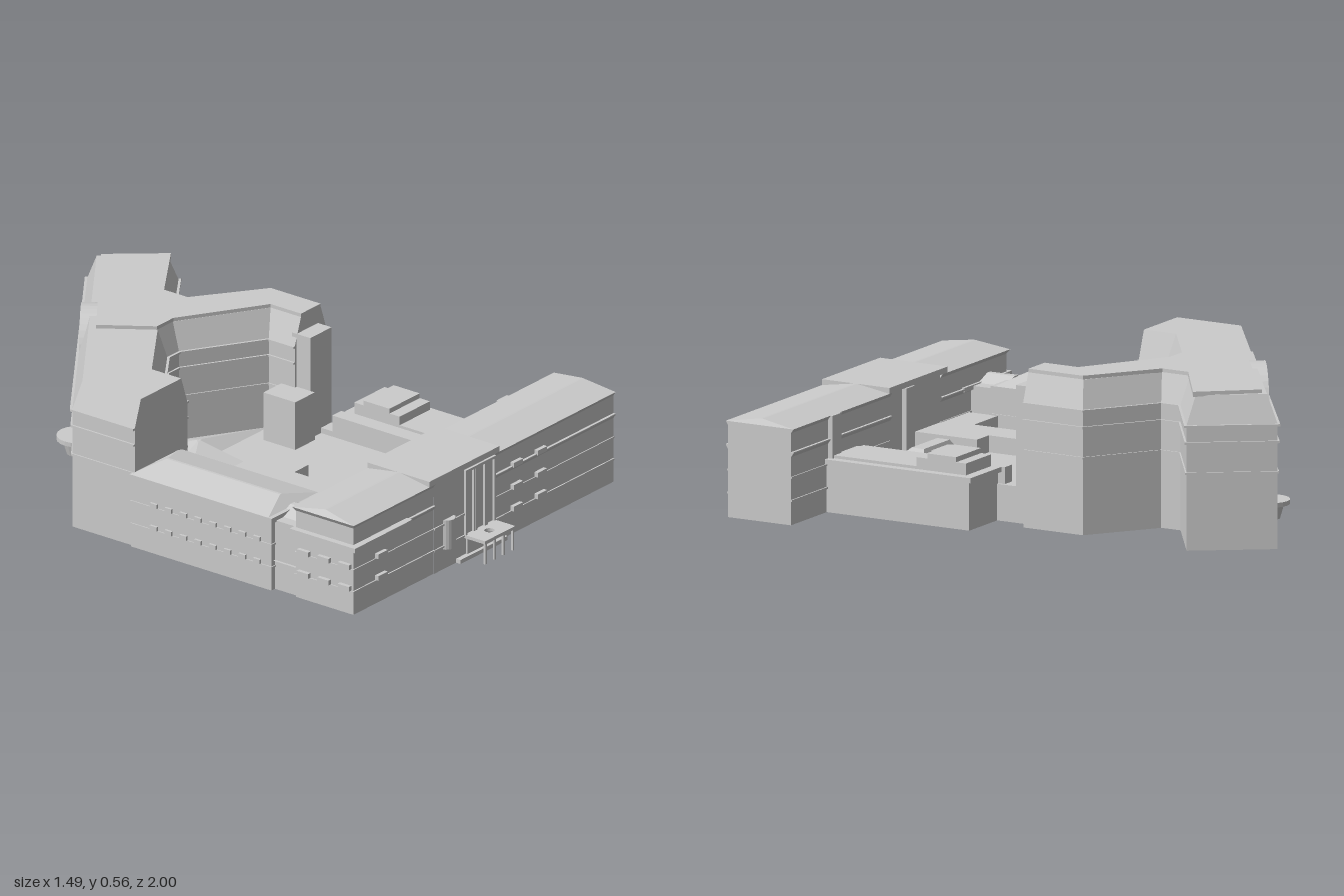
import * as THREE from 'three';

const material = new THREE.MeshStandardMaterial({ color: 0xcccccc, flatShading: true, side: THREE.DoubleSide });
const FLOOR = 0.11; // courtyard level
const ALL = Infinity;

export function createModel() {
  const model = new THREE.Group();

  const add = (name, geometry, x = 0, y = 0, z = 0) => {
    const mesh = new THREE.Mesh(geometry, material);
    mesh.name = name;
    mesh.position.set(x, y, z);
    model.add(mesh);
    return mesh;
  };
  const box = (name, x0, x1, y0, y1, z0, z1) =>
    add(name, new THREE.BoxGeometry(x1 - x0, y1 - y0, z1 - z0), (x0 + x1) / 2, (y0 + y1) / 2, (z0 + z1) / 2);

  // Outline of a rectangle, clockwise from above: edges are north, east, south, west
  const rect = (x0, x1, z0, z1) => [[x0, z0], [x1, z0], [x1, z1], [x0, z1]];

  // Moves each edge of an outline inwards by d, except the flush edges
  const inset = (poly, d, flush) => {
    const n = poly.length;
    const lines = poly.map((p, i) => {
      const q = poly[(i + 1) % n];
      const len = Math.hypot(q[0] - p[0], q[1] - p[1]);
      const nx = -(q[1] - p[1]) / len, nz = (q[0] - p[0]) / len;
      return [nx, nz, nx * p[0] + nz * p[1] + (flush.includes(i) ? 0 : d)];
    });
    return lines.map((b, i) => {
      const a = lines[(i + n - 1) % n];
      const det = a[0] * b[1] - a[1] * b[0];
      return [(a[2] * b[1] - a[1] * b[2]) / det, (a[0] * b[2] - a[2] * b[0]) / det];
    });
  };

  // Skin over stacked outlines [y, outline], capped on top; open[i] leaves edge i without wall up to that height
  const skin = (name, rings, open = {}) => {
    const pos = [];
    const put = (y, p) => pos.push(p[0], y, p[1]);
    for (let k = 0; k + 1 < rings.length; k++) {
      const [y0, a] = rings[k], [y1, b] = rings[k + 1];
      a.forEach((p, i) => {
        if (y1 <= (open[i] ?? -1)) return;
        const j = (i + 1) % a.length;
        put(y0, p); put(y1, b[i]); put(y1, b[j]);
        put(y0, p); put(y1, b[j]); put(y0, a[j]);
      });
    }
    const [top, cap] = rings[rings.length - 1];
    const pts = cap.map(p => new THREE.Vector2(p[0], p[1]));
    for (const [i, j, k] of THREE.ShapeUtils.triangulateShape(pts, [])) {
      const turn = (cap[j][0] - cap[i][0]) * (cap[k][1] - cap[i][1]) - (cap[j][1] - cap[i][1]) * (cap[k][0] - cap[i][0]);
      for (const v of turn > 0 ? [i, k, j] : [i, j, k]) put(top, cap[v]);
    }
    const g = new THREE.BufferGeometry();
    g.setAttribute('position', new THREE.Float32BufferAttribute(pos, 3));
    g.computeVertexNormals();
    return add(name, g);
  };
  const walls = (name, poly, levels, flush = [], open = {}) =>
    skin(name, levels.map(([y, d]) => [y, d ? inset(poly, d, flush) : poly]), open);
  const band = (y0, y1, out) => [[y0, 0], [y0, -out], [y1, -out], [y1, 0]];

  // Rear tower: forked plan with string courses and mansard roof
  const plan = [[-0.72, -0.335], [0.203, -0.993], [0.387, -0.735], [0.12, -0.552], [0.12, -0.474], [0.36, -0.3], [0.36, -0.06],
    [0.18, -0.06], [0.18, -0.175], [-0.1, -0.352], [-0.165, -0.352], [-0.425, -0.172], [-0.425, -0.06], [-0.72, -0.06]];
  const ends = [6, 12];
  walls('rearTower', plan, [[0, 0], ...band(0.27, 0.278, 0.005), ...band(0.378, 0.386, 0.007),
    ...band(0.438, 0.446, 0.009), [0.545, 0.034]], ends);
  skin('raisedRoof', [0.54, 0.558].map(y => [y, [[-0.3, -0.56], [0.193, -0.925], [0.348, -0.738], [0.085, -0.562],
    [0.085, -0.458], [0.325, -0.28], [0.325, -0.06], [0.215, -0.06], [0.215, -0.195], [-0.088, -0.386], [-0.18, -0.386]]]));
  box('stairTower', 0.19, 0.31, 0, 0.49, -0.08, 0);
  box('stairAnnex', 0.08, 0.19, 0, 0.29, -0.12, 0.02);
  box('stairPorch', 0.25, 0.31, 0, 0.13, -0.02, 0.08);

  // Arched dormer and round porch on the slanted rear wall
  const rear = new THREE.Group();
  rear.name = 'rearEntrance';
  rear.position.set(-0.2, 0, -0.706);
  rear.rotation.y = Math.PI + Math.atan2(0.658, 0.923);
  const rearPart = (name, geometry, y, z) => rear.add(add(name, geometry, 0, y, z));
  const arch = r => new THREE.Shape().absellipse(0, 0, r, r, 0, Math.PI, false);
  rearPart('archDormer', new THREE.ExtrudeGeometry(arch(0.145), { depth: 0.09, bevelEnabled: false, curveSegments: 10 }), 0.4, -0.097);
  const rim = arch(0.157);
  rim.holes.push(arch(0.14));
  rearPart('archRim', new THREE.ExtrudeGeometry(rim, { depth: 0.09, bevelEnabled: false, curveSegments: 10 }), 0.4, -0.09);
  rearPart('porchRoof', new THREE.CylinderGeometry(0.075, 0.075, 0.016, 20), 0.06, 0.01);
  rearPart('porchBody', new THREE.CylinderGeometry(0.055, 0.04, 0.052, 14), 0.026, 0.01);
  model.add(rear);

  // Front block: banded wings with low gables on either side of a plain, flat-topped centre
  const courses = [[0, 0], ...band(0.083, 0.09, 0.005), [FLOOR, 0], ...band(0.166, 0.172, 0.004),
    [0.242, 0], [0.256, -0.01], [0.26, -0.01], [0.26, 0], [0.327, 0], [0.342, -0.01]];
  const wing = (name, x0, x1, flush, open) => walls(name, rect(x0, x1, 0.65, 0.903), courses, flush, open);
  wing('westFrontWing', -0.72, -0.27, [1], { 0: FLOOR, 1: ALL });
  wing('eastFrontWing', 0.07, 0.295, [1, 3], { 0: FLOOR, 1: ALL, 3: ALL });
  wing('eastFrontEnd', 0.295, 0.743, [1, 3], { 3: ALL });
  walls('frontCentre', rect(-0.27, 0.07, 0.65, 0.905), [[0, 0], [FLOOR, 0], [0.342, 0]], [], { 0: FLOOR, 1: ALL, 3: ALL });
  box('centreRoof', -0.305, 0.09, 0.342, 0.363, 0.64, 0.913);
  for (const [x0, x1, r0, r1] of [[-0.73, -0.305, -0.715, -0.305], [0.09, 0.743, 0.09, 0.73]])
    skin('gableRoof', [[0.342, rect(x0, x1, 0.64, 0.913)], [0.363, rect(r0, r1, 0.772, 0.78)]]);
  for (const y of [0.083, 0.166]) box('centreCourse', -0.27, -0.1, y, y + 0.007, 0.904, 0.91);
  box('cornerLedge', -0.743, -0.42, 0.248, 0.264, 0.64, 0.928);

  // Window boxes on the front and the west end
  for (const y of [0.09, 0.172, 0.256]) {
    for (const x of [0.19, 0.325]) box('windowBox', x - 0.026, x + 0.026, y, y + 0.018, 0.902, 0.918);
    if (y < 0.2) {
      box('windowBox', -0.597, -0.545, y, y + 0.018, 0.902, 0.918);
      for (const z of [0.69, 0.78, 0.87]) box('endWindowBox', -0.735, -0.719, y, y + 0.018, z - 0.025, z + 0.025);
    }
  }
  for (const x of [-0.04, 0.46]) box('rearPier', x - 0.03, x + 0.03, FLOOR, 0.342, 0.632, 0.65);
  add('roundBay', new THREE.CylinderGeometry(0.033, 0.033, 0.11, 10, 1, false, -Math.PI / 2, Math.PI), -0.187, 0.13, 0.895);

  // Tall entrance glazing with fins
  box('entranceFrame', -0.1, 0.07, 0.325, 0.335, 0.904, 0.914);
  for (const x of [-0.095, -0.05, -0.04, 0.01, 0.02, 0.065]) box('entranceFin', x - 0.004, x + 0.004, 0.085, 0.33, 0.904, 0.914);

  // Entrance canopy with a round opening, posts and steps
  const slab = new THREE.Shape([[-0.1, -0.998], [0.07, -0.998], [0.07, -0.9], [-0.1, -0.9]].map(p => new THREE.Vector2(...p)));
  slab.holes.push(new THREE.Path().absarc(-0.015, -0.95, 0.018, 0, Math.PI * 2, true));
  const canopy = new THREE.ExtrudeGeometry(slab, { depth: 0.012, bevelEnabled: false });
  add('canopy', canopy.rotateX(-Math.PI / 2), 0, 0.078, 0);
  for (const x of [-0.092, -0.04, 0.01, 0.062]) box('canopyPost', x - 0.004, x + 0.004, 0, 0.08, 0.988, 0.996);
  box('entranceStep', -0.145, 0.12, 0, 0.015, 0.904, 0.925);
  box('doorway', -0.09, 0.06, 0, 0.075, 0.904, 0.912);

  // West wing with hipped roof, and the link to the front block
  walls('westWing', rect(-0.73, -0.46, -0.07, 0.55), [[0, 0], ...band(0.085, 0.091, 0.004), [FLOOR, 0],
    ...band(0.17, 0.176, 0.004), ...band(0.255, 0.275, 0.006)], [], { 0: ALL });
  skin('westWingRoof', [[0.275, rect(-0.735, -0.455, -0.07, 0.54)], [0.305, rect(-0.605, -0.595, -0.01, 0.49)]]);
  walls('westLink', rect(-0.71, -0.48, 0.54, 0.66), [[0, 0], [FLOOR, 0], [0.26, 0]], [], { 0: ALL, 2: ALL });
  skin('westLinkRoof', [[0.26, rect(-0.67, -0.53, 0.54, 0.65)], [0.285, rect(-0.61, -0.59, 0.54, 0.65)]]);
  for (let i = 0; i < 8; i++) {
    for (const y of [0.091, 0.176]) box('westWindowBox', -0.739, -0.729, y, y + 0.016, 0.02 + i * 0.065, 0.05 + i * 0.065);
  }

  // Courtyard floor and the low volumes on it
  skin('courtyardFloor', [[FLOOR, [[-0.72, -0.06], [-0.425, -0.06], [-0.425, -0.172], [-0.165, -0.352], [-0.1, -0.352],
    [0.18, -0.175], [0.3, -0.06], [0.3, 0.65], [-0.72, 0.65]]]]);
  skin('courtyardHall', [FLOOR, 0.17].map(y => [y, [[-0.3, 0.1], [-0.1, 0.1], [-0.1, 0.22], [-0.18, 0.22],
    [-0.18, 0.4], [-0.1, 0.4], [-0.1, 0.65], [-0.46, 0.65], [-0.46, 0.53], [-0.3, 0.53]]]));
  const skirt = [[-0.425, -0.06], [-0.425, -0.172], [-0.165, -0.352], [-0.1, -0.352], [0.18, -0.175], [-0.11, -0.175], [-0.11, -0.06]];
  skin('rearSkirtRoof', [[FLOOR, skirt], [0.15, skirt.map(([x, z]) => [-0.13 + (x + 0.13) * 0.05, -0.24 + (z + 0.24) * 0.05])]]);
  skin('skylight', [[FLOOR, rect(-0.07, 0.215, 0.425, 0.59)], [0.18, rect(-0.015, 0.16, 0.46, 0.51)]]);
  box('skylightVent', 0.015, 0.125, FLOOR, 0.17, 0.395, 0.45);

  // East wing with cornice and rooftop plant
  walls('eastWing', rect(0.303, 0.5, 0.075, 0.65), [[0, 0], [0.172, 0], [0.172, -0.012], [0.19, -0.012]]);
  box('eastGallery', 0.25, 0.3, FLOOR, 0.19, 0.05, 0.65);
  box('roofPlant', 0.31, 0.48, 0.19, 0.232, 0.1, 0.3);
  box('roofPlantCap', 0.31, 0.48, 0.232, 0.25, 0.14, 0.255);
  box('roofTerrace', 0.31, 0.48, 0.19, 0.2, 0.3, 0.64);

  return model;
}
